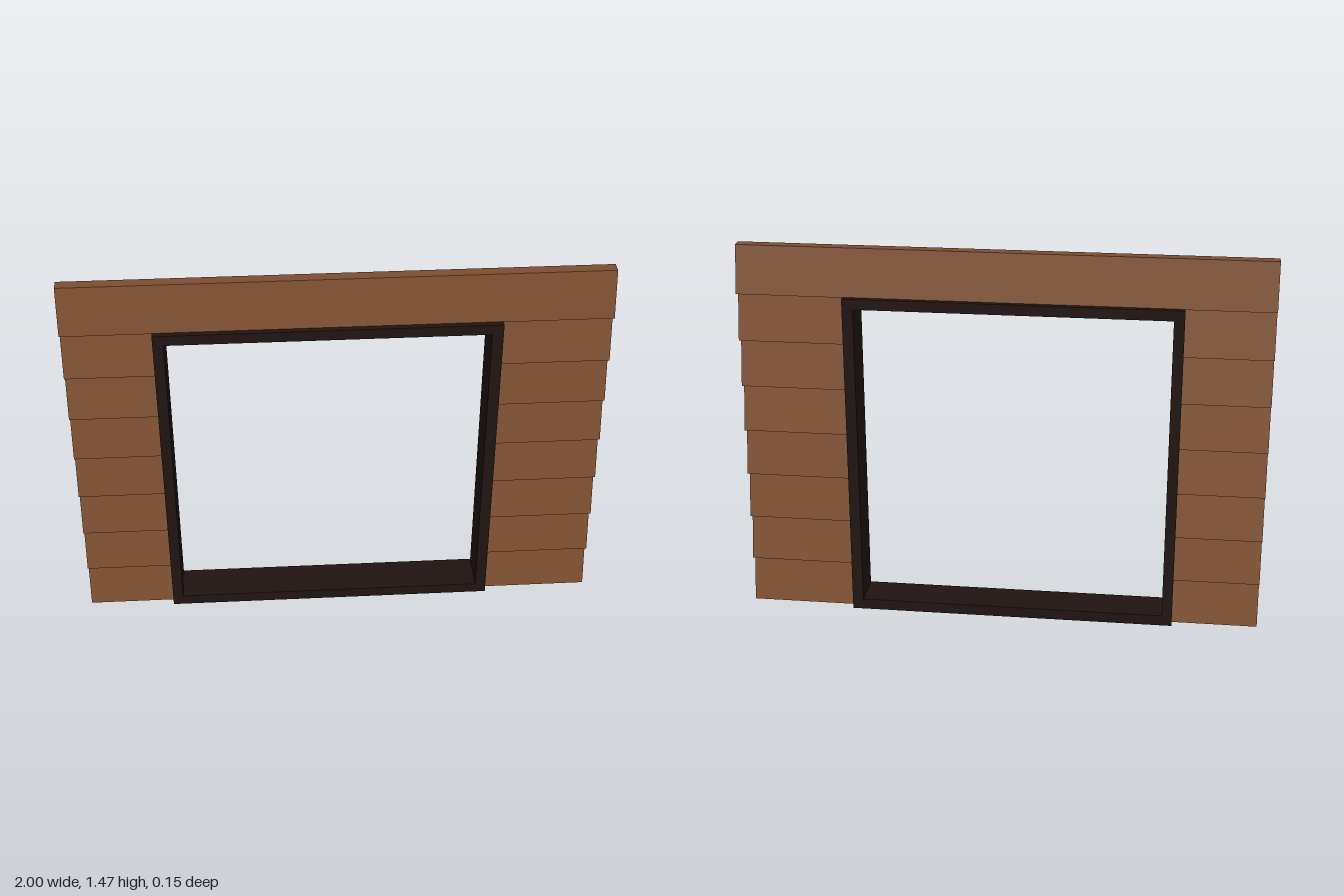
import * as THREE from 'three';

const WOOD = new THREE.MeshStandardMaterial({ color: 0x7d4f30, flatShading: true });
const DARK = new THREE.MeshStandardMaterial({ color: 0x201412, flatShading: true });

const ROWS = 8, PITCH = 0.1826, HEIGHT = 1.468, FIRST = 0.008;
const OPEN_L = -0.65, OPEN_R = 0.575; // wall edges, tucked inside the frame

// one course of siding: wide at the lower lip, tapering up on both faces
function board(name, x0, x1, row) {
  const y = FIRST + row * PITCH;
  const top = row === ROWS - 1 ? HEIGHT : y + PITCH;
  const half = [[0.022, y - 0.008], [0.055, y], [0.022, top]];
  const points = [...half, ...half.slice().reverse().map(([z, h]) => [-z, h])];
  const shape = new THREE.Shape(points.map(([z, h]) => new THREE.Vector2(z, h)));
  const geometry = new THREE.ExtrudeGeometry(shape, { depth: x1 - x0, bevelEnabled: false });
  geometry.rotateY(-Math.PI / 2); // extrusion now runs along -x
  geometry.translate(x1, 0, 0);
  const mesh = new THREE.Mesh(geometry, WOOD);
  mesh.name = name;
  return mesh;
}

function rectangle(path, x0, y0, x1, y1) {
  path.moveTo(x0, y0);
  path.lineTo(x1, y0);
  path.lineTo(x1, y1);
  path.lineTo(x0, y1);
  path.closePath();
  return path;
}

export function createModel() {
  const group = new THREE.Group();
  group.name = 'wallWithOpening';

  // siding beside the opening, with a full-width board on top
  const siding = new THREE.Group();
  siding.name = 'siding';
  for (let i = 0; i < ROWS - 1; i++) {
    siding.add(board('rightBoard', -1, OPEN_L, i));
    siding.add(board('leftBoard', OPEN_R, 1, i));
  }
  siding.add(board('headerBoard', -1, 1, ROWS - 1));
  group.add(siding);

  // dark frame lining the opening
  const outline = rectangle(new THREE.Shape(), -0.67, 0.002, 0.595, 1.288);
  outline.holes.push(rectangle(new THREE.Path(), -0.63, 0.044, 0.553, 1.248));
  const geometry = new THREE.ExtrudeGeometry(outline, { depth: 0.154, bevelEnabled: false });
  geometry.translate(0, 0, -0.077);
  const frame = new THREE.Mesh(geometry, DARK);
  frame.name = 'openingFrame';
  group.add(frame);

  return group;
}
